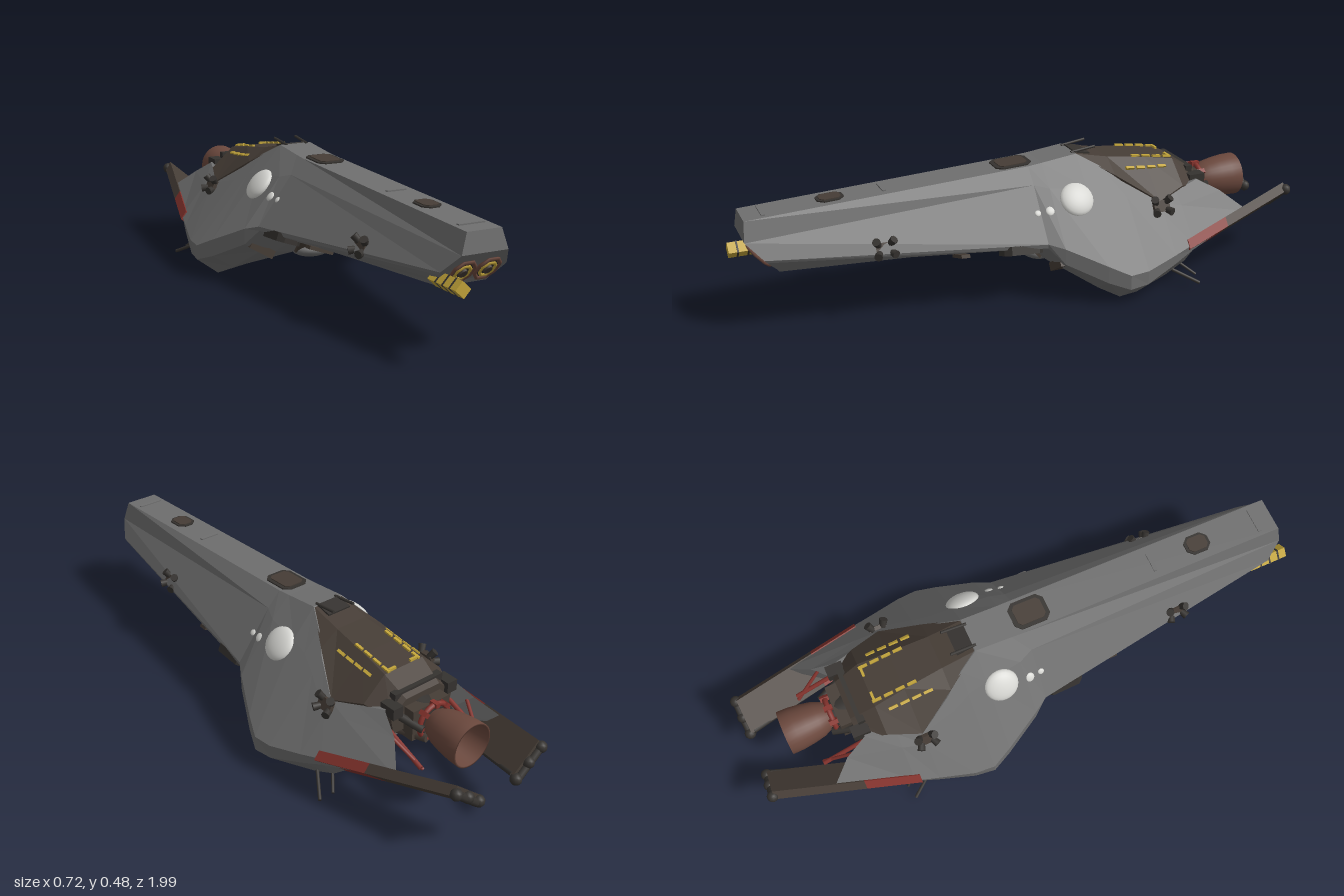
import * as THREE from 'three';

const mat = (name, color, side = THREE.FrontSide) => {
  const m = new THREE.MeshStandardMaterial({ color, side, flatShading: false });
  m.name = name;
  return m;
};

// Flat-faced loft through rings (front to back, clockwise seen from the front)
function loft(rings) {
  const pos = [], n = rings[0].length, h = n / 2;
  const tri = (a, b, c) => pos.push(...a, ...b, ...c);
  const quad = (a, b, c, d) => { tri(a, b, c); tri(a, c, d); };
  for (let i = 0; i < rings.length - 1; i++)
    for (let j = 0; j < n; j++) {
      const k = (j + 1) % n, A = rings[i], B = rings[i + 1];
      quad(A[j], A[k], B[k], B[j]);
    }
  const f = rings[0], b = rings[rings.length - 1];
  for (let k = 0; k < h - 1; k++) quad(f[n - 1 - k], f[n - 2 - k], f[k + 1], f[k]);
  for (let k = 0; k < h - 2; k++) {
    tri(b[h - 1], b[k], b[k + 1]);
    tri(b[h], b[h + 1 + k], b[h + 2 + k]);
  }
  quad(b[0], b[h - 1], b[h], b[n - 1]);
  const g = new THREE.BufferGeometry();
  g.setAttribute('position', new THREE.Float32BufferAttribute(pos, 3));
  g.computeVertexNormals();
  return g;
}
const mirrored = (pts) => pts.map(([x, y, z]) => [-x, y, z]).reverse();
const symmetric = (half) => [...half, ...mirrored(half)];

export function createModel() {
  const root = new THREE.Group();
  root.name = 'spacecraft';
  const grey = mat('hull grey', 0x6f6f6f), brown = mat('dark brown', 0x463d36);
  const dark = mat('charcoal', 0x35322f), red = mat('red', 0x85332d);
  const yellow = mat('yellow', 0xc2a43a), white = mat('white', 0xd6d6d2);
  const rust = mat('rust', 0x6b483d, THREE.DoubleSide);

  const add = (name, geo, m, p = [0, 0, 0], r = [0, 0, 0], parent = root) => {
    const mesh = new THREE.Mesh(geo, m);
    mesh.name = name;
    mesh.position.set(...p);
    mesh.rotation.set(...r);
    parent.add(mesh);
    return mesh;
  };
  const box = (name, m, size, p, r, parent) => add(name, new THREE.BoxGeometry(...size), m, p, r, parent);
  const rod = (name, m, a, b, rad) => {
    const A = new THREE.Vector3(...a), B = new THREE.Vector3(...b), d = B.clone().sub(A);
    const mesh = add(name, new THREE.CylinderGeometry(rad, rad, d.length(), 8), m, A.add(B).multiplyScalar(0.5).toArray());
    mesh.quaternion.setFromUnitVectors(new THREE.Vector3(0, 1, 0), d.normalize());
  };
  // Thin rounded plate lying in the xz plane
  const hatchGeo = (w, l, t, r) => {
    const s = new THREE.Shape(), x = w / 2, y = l / 2;
    [[-x + r, -y], [x - r, -y], [x, -y + r], [x, y - r], [x - r, y], [-x + r, y], [-x, y - r], [-x, -y + r]]
      .forEach(([a, b], i) => (i ? s.lineTo(a, b) : s.moveTo(a, b)));
    return new THREE.ExtrudeGeometry(s, { depth: t, bevelEnabled: false }).translate(0, 0, -t / 2).rotateX(-Math.PI / 2);
  };

  // Hull: top edge, shoulder, chine, lower chine, keel outer, keel inner, belly edge
  const at = (z, ...p) => symmetric(p.map(([x, y, zz]) => [x, y, zz ?? z]));
  add('hull', loft([
    at(0.92, [0.06, 0.395, 0.965], [0.08, 0.33, 0.972], [0.115, 0.275, 0.92], [0.112, 0.265, 0.911], [0.1, 0.245, 0.894], [0.09, 0.23, 0.88], [0.08, 0.215, 0.87]),
    at(0, [0.062, 0.44], [0.11, 0.388], [0.235, 0.22], [0.232, 0.205], [0.18, 0.185], [0.12, 0.168], [0.08, 0.16]),
    at(-0.05, [0.061, 0.445], [0.13, 0.375], [0.265, 0.205], [0.265, 0.15], [0.2, 0.12], [0.15, 0.11], [0.08, 0.1]),
    at(-0.18, [0.06, 0.46], [0.145, 0.365], [0.33, 0.145], [0.33, 0.085], [0.25, 0.035], [0.2, 0.04], [0.09, 0.1]),
    at(-0.25, [0.095, 0.42], [0.155, 0.352], [0.36, 0.112], [0.36, 0.06], [0.28, 0], [0.23, 0.01], [0.09, 0.11]),
    at(-0.32, [0.14, 0.365], [0.18, 0.32], [0.355, 0.115], [0.352, 0.065], [0.275, 0.004], [0.22, 0.016], [0.09, 0.12]),
    at(-0.44, [0.2, 0.29], [0.23, 0.255], [0.325, 0.14], [0.322, 0.105], [0.26, 0.04], [0.2, 0.05], [0.1, 0.14]),
    at(-0.52, [0.17, 0.31], [0.21, 0.27], [0.305, 0.16], [0.3, 0.135], [0.25, 0.075], [0.2, 0.09], [0.1, 0.17]),
    at(-0.6, [0.14, 0.33, -0.62], [0.17, 0.285, -0.7], [0.235, 0.215, -0.785], [0.225, 0.2, -0.77], [0.17, 0.17, -0.65], [0.13, 0.17], [0.1, 0.19]),
  ]), grey);

  // Engine cover sunk into the rear deck
  const cover = [[-0.18, 0.058, 0.459, 0.06, 0.457], [-0.3, 0.06, 0.433, 0.127, 0.386], [-0.44, 0.07, 0.415, 0.2, 0.294],
    [-0.55, 0.08, 0.398, 0.163, 0.323], [-0.64, 0.07, 0.35, 0.13, 0.3]];
  add('engineCover', loft(cover.map(([z, tx, ty, ox, oy]) =>
    symmetric([[tx, ty, z], [ox, oy, z], [ox * 0.9, oy - 0.06, z]]))), brown);
  const coverY = (x, z) => {
    let i = 0;
    while (i < 3 && z < cover[i + 1][0]) i++;
    const a = cover[i], b = cover[i + 1], t = (z - a[0]) / (b[0] - a[0]);
    const [, tx, ty, ox, oy] = a.map((v, k) => v + (b[k] - v) * t);
    return x < tx ? ty : ty + (oy - ty) * (x - tx) / (ox - tx);
  };
  box('deckNotch', dark, [0.09, 0.006, 0.06], [0, 0.455, -0.21], [-0.2, 0, 0]);

  // Roof hatches
  for (const [z, y, w, l] of [[0.04, 0.438, 0.1, 0.13], [0.675, 0.4085, 0.07, 0.09]]) {
    add('hatchFrame', hatchGeo(w, l, 0.009, 0.02), dark, [0, y, z], [0.046, 0, 0]);
    add('hatchPanel', hatchGeo(w * 0.75, l * 0.78, 0.015, 0.012), brown, [0, y, z], [0.046, 0, 0]);
  }
  for (const [z, y, w] of [[0.9, 0.399, 0.09], [0.5, 0.418, 0.07]]) box('roofSlot', grey, [w, 0.006, 0.012], [0, y, z]);

  // Twin gun ports in the slanted chin
  const chin = new THREE.Group();
  chin.name = 'chinPorts';
  chin.position.set(0, 0.27, 0.922);
  chin.rotation.x = 0.72;
  chin.scale.y = 1.3;
  root.add(chin);
  for (const s of [-1, 1]) {
    const ring = (name, r, t, m, z) => add(name, new THREE.TorusGeometry(r, t, 4, 8).rotateZ(Math.PI / 8), m, [s * 0.043, 0, z], [0, 0, 0], chin);
    add('portFloor', new THREE.CircleGeometry(0.036, 8), dark, [s * 0.043, 0, 0.003], [0, 0, Math.PI / 8], chin);
    ring('portRim', 0.038, 0.006, rust, 0.004);
    ring('portLiner', 0.024, 0.005, yellow, 0.006);
    add('portBarrel', new THREE.CylinderGeometry(0.013, 0.013, 0.012, 8), brown, [s * 0.043, 0, 0.006], [Math.PI / 2, 0, 0], chin);
  }

  // Offset sensor boom at the nose
  box('sensorBoom', yellow, [0.04, 0.035, 0.14], [-0.091, 0.242, 0.93], [0, 0, -0.75]);
  for (let i = 0; i < 3; i++) box('sensorBand', dark, [0.043, 0.038, 0.006], [-0.091, 0.242, 0.9 + i * 0.035], [0, 0, -0.75]);

  // Belly turret dome and front panel
  add('bellyDome', new THREE.SphereGeometry(0.075, 24, 12).scale(1, 0.4, 0.8), grey, [0, 0.104, -0.06]);
  box('bellyPanel', brown, [0.15, 0.07, 0.009], [0, 0.128, -0.021], [0.69, 0, 0]);
  add('bellyHatch', hatchGeo(0.11, 0.2, 0.02, 0.02), dark, [0, 0.166, 0.14], [-0.063, 0, 0]);

  // Parts repeated on both sides
  for (const s of [-1, 1]) {
    const slope = -s * 0.87;
    // White sensor domes
    for (const [x, y, z, r] of [[0.165, 0.336, -0.135, 0.06], [0.172, 0.312, -0.035, 0.018], [0.168, 0.309, 0.01, 0.011]])
      add('sensorDome', new THREE.SphereGeometry(r, 24, 12).scale(1, 0.4, 1), white, [s * x, y, z], [0, 0, slope]);

    // Thruster clusters
    for (const [x, y, z] of [[0.148, 0.265, 0.54], [0.218, 0.283, -0.435]]) {
      const cluster = new THREE.Group();
      cluster.name = 'thrusterCluster';
      cluster.position.set(s * x, y, z);
      cluster.rotation.z = slope - s * 0.3;
      root.add(cluster);
      box('thrusterBase', brown, [0.04, 0.014, 0.06], [0, 0, 0], [0, 0, 0], cluster);
      for (const a of [-1, 1]) for (const b of [-1, 1])
        add('thruster', new THREE.CylinderGeometry(0.014, 0.011, 0.03, 10), dark, [a * 0.018, 0.008, b * 0.024], [b * 0.5, 0, -a * 0.5], cluster);
    }

    // Underside intakes and slanted vents
    add('sideIntake', hatchGeo(0.09, 0.14, 0.03, 0.02), dark, [s * 0.185, 0.196, 0.08], [-0.063, 0, s * 0.34]);
    box('undersideVent', brown, [0.09, 0.012, 0.03], [s * 0.15, 0.194, 0.28], [-0.063, 0, s * 0.34]);
    box('keelVent', brown, [0.1, 0.03, 0.05], [s * 0.2, 0.125, -0.065], [0, 0, s * 0.55]);
    add('keelHatch', hatchGeo(0.07, 0.12, 0.012, 0.02), dark, [s * 0.15, 0.068, -0.24], [0, 0, -s * 0.62]);

    // Tail booms: a red front panel followed by a brown one
    const section = (z) => {
      const t = (-0.5 - z) / 0.48, x = 0.318 - 0.128 * t, y = 0.15 + 0.1 * t, n = [-0.021, 0.028];
      const p = [[x, y, z], [x - 0.1, y - 0.085, z], [x - 0.1 + n[0], y - 0.085 + n[1], z], [x + n[0], y + n[1], z]];
      return s > 0 ? p : mirrored(p);
    };
    add('boomRedPanel', loft([section(-0.5), section(-0.68)]), red);
    add('boomPanel', loft([section(-0.68), section(-0.97)]), brown);
    rod('boomTip', dark, [s * 0.185, 0.255, -0.975], [s * 0.085, 0.17, -0.975], 0.014);
    for (const [x, y] of [[0.18, 0.25], [0.13, 0.215], [0.08, 0.175]])
      add('boomTipKnob', new THREE.SphereGeometry(0.02, 10, 8), dark, [s * x, y, -0.975]);
    rod('boomRail', dark, [s * 0.2, 0.09, -0.55], [s * 0.08, 0.185, -0.96], 0.009);
    rod('boomStrut', red, [s * 0.13, 0.27, -0.6], [s * 0.13, 0.2, -0.78], 0.008);
    rod('boomStrut', red, [s * 0.16, 0.27, -0.68], [s * 0.12, 0.19, -0.78], 0.006);

    // Keel and roof antennas
    rod('keelAntenna', dark, [s * 0.27, 0.06, -0.46], [s * 0.325, 0.018, -0.54], 0.006);
    rod('keelAntenna', dark, [s * 0.24, 0.07, -0.5], [s * 0.28, 0.03, -0.55], 0.005);
    rod('roofAntenna', dark, [s * 0.04, 0.46, -0.17], [s * 0.042, 0.471, -0.26], 0.005);

    // Yellow dashes on the engine cover
    for (const [x, z0, count] of [[0.102, -0.37, 4], [0.063, -0.41, 4]])
      for (let i = 0; i < count; i++) {
        const z = z0 - i * 0.042;
        box('warningDash', yellow, [0.01, 0.009, 0.032], [s * x, coverY(x, z) + 0.002, z], [-0.13, 0, x > 0.08 ? -s * 0.6 : 0]);
      }
    box('warningDash', yellow, [0.03, 0.009, 0.009], [s * 0.045, 0.402, -0.545]);

    // Engine pipework
    rod('enginePipe', dark, [s * 0.1, 0.3, -0.6], [s * 0.06, 0.27, -0.71], 0.014);
    rod('enginePipe', brown, [s * 0.08, 0.22, -0.58], [s * 0.04, 0.23, -0.71], 0.016);
    box('engineFitting', dark, [0.04, 0.04, 0.06], [s * 0.115, 0.325, -0.625]);
  }

  // Main engine
  box('engineBlock', brown, [0.15, 0.11, 0.1], [0, 0.27, -0.63]);
  box('engineCrossbar', dark, [0.2, 0.025, 0.025], [0, 0.355, -0.61]);
  const axial = [-Math.PI / 2, 0, 0], cy = 0.27;
  add('engineCollar', new THREE.CylinderGeometry(0.05, 0.062, 0.06, 24), dark, [0, cy, -0.67], axial);
  add('engineRing', new THREE.TorusGeometry(0.06, 0.009, 8, 32), red, [0, cy, -0.695]);
  for (let i = 0; i < 8; i++) {
    const a = i * Math.PI / 4;
    box('ringLug', red, [0.016, 0.016, 0.03], [Math.cos(a) * 0.062, cy + Math.sin(a) * 0.062, -0.695], [0, 0, a]);
  }
  const bell = [[0.038, 0.69], [0.05, 0.71], [0.063, 0.74], [0.071, 0.78], [0.076, 0.82], [0.077, 0.86], [0.071, 0.86], [0.064, 0.78], [0.045, 0.73], [0, 0.72]];
  add('engineBell', new THREE.LatheGeometry(bell.map(([r, y]) => new THREE.Vector2(r, y)), 32), rust, [0, cy, 0], axial);

  return root;
}
